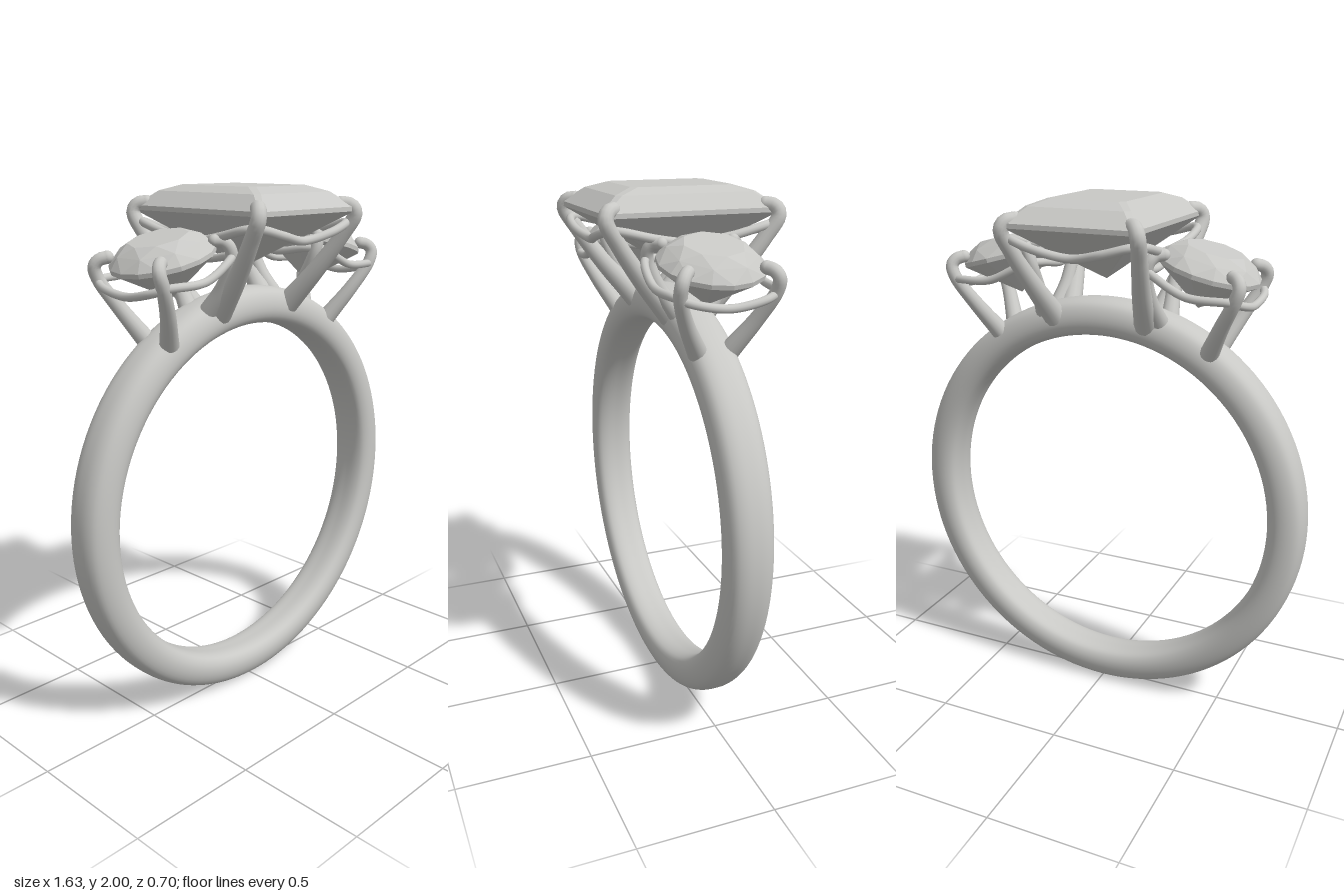
import * as THREE from 'three';
import { ConvexGeometry } from 'three/addons/geometries/ConvexGeometry.js';

const silver = new THREE.MeshStandardMaterial({ color: 0xc8c8c5 });
silver.name = 'silver grey';

const V = (x, y, z) => new THREE.Vector3(x, y, z);

function addMesh(parent, name, geometry) {
  const mesh = new THREE.Mesh(geometry, silver);
  mesh.name = name;
  parent.add(mesh);
  return mesh;
}

// Band: closed rounded section turned about z, slightly slimmer at the bottom
function bandGeometry() {
  const half = [[0.675, 0], [0.677, 0.045], [0.69, 0.075], [0.72, 0.09], [0.76, 0.088], [0.795, 0.07], [0.811, 0.04], [0.815, 0]];
  const loop = [
    ...half.map(([r, w]) => V(r, -w, 0)),
    ...half.slice(1, -1).reverse().map(([r, w]) => V(r, w, 0)),
  ];
  const section = new THREE.CatmullRomCurve3(loop, true).getPoints(44).map(p => new THREE.Vector2(p.x, p.y));
  const geo = new THREE.LatheGeometry(section, 120).rotateX(Math.PI / 2);
  const pos = geo.attributes.position;
  for (let i = 0; i < pos.count; i++) {
    pos.setZ(i, pos.getZ(i) * (0.95 + 0.08 * pos.getY(i)));
  }
  return geo.translate(0, 0.815, 0);
}

// Prong: tapering bent tube with a ball tip
function addProng(parent, name, points, baseRadius, tipRadius) {
  const group = new THREE.Group();
  group.name = name;
  const curve = new THREE.CatmullRomCurve3(points);
  const steps = 36, sides = 14;
  const geo = new THREE.TubeGeometry(curve, steps, 1, sides);
  const pos = geo.attributes.position;
  const p = V(0, 0, 0);
  for (let i = 0; i <= steps; i++) {
    const t = i / steps;
    const centre = curve.getPointAt(t);
    const radius = tipRadius + (baseRadius - tipRadius) * Math.pow(1 - t, 2);
    for (let j = 0; j <= sides; j++) {
      const k = i * (sides + 1) + j;
      p.fromBufferAttribute(pos, k).sub(centre).multiplyScalar(radius).add(centre);
      pos.setXYZ(k, p.x, p.y, p.z);
    }
  }
  addMesh(group, 'prongShaft', geo);
  addMesh(group, 'prongTip', new THREE.SphereGeometry(tipRadius, 16, 12)).position.copy(points[points.length - 1]);
  parent.add(group);
}

// Closed gallery wire from points of one quadrant (x side first, z side last)
function wireGeometry(quarter, radius) {
  const inner = quarter.slice(1, -1);
  const first = quarter[0], last = quarter[quarter.length - 1];
  const m = (list, sx, sz) => list.map(([x, y, z]) => V(x * sx, y, z * sz));
  const loop = [
    ...m([first, ...inner], 1, 1),
    ...m([last, ...inner.slice().reverse()], -1, 1),
    ...m([first, ...inner], -1, -1),
    ...m([last, ...inner.slice().reverse()], 1, -1),
  ];
  return new THREE.TubeGeometry(new THREE.CatmullRomCurve3(loop, true), 160, radius, 12, true);
}

// Step-cut stone: rectangular rings with clipped corners over a pointed base
function stepCutGeometry() {
  const rings = [[0.15, 0.19, 2.0, 0.02], [0.2, 0.262, 1.978, 0.018], [0.252, 0.33, 1.925, 0.012], [0.252, 0.33, 1.908, 0.012]];
  const points = [V(0, 1.7, 0)];
  for (const [x, z, y, c] of rings) {
    for (const sx of [-1, 1]) for (const sz of [-1, 1]) {
      points.push(V(sx * (x - c), y, sz * z), V(sx * x, y, sz * (z - c)));
    }
  }
  return new ConvexGeometry(points);
}

// Round stone: table, crown, girdle and pointed base
function roundCutGeometry() {
  const rings = [[8, 0.108, 0.072, 0], [8, 0.156, 0.046, Math.PI / 8], [16, 0.19, 0.008, 0], [16, 0.19, -0.008, 0]];
  const points = [V(0, -0.15, 0)];
  for (const [n, r, y, turn] of rings) {
    for (let i = 0; i < n; i++) {
      const a = turn + i / n * Math.PI * 2;
      points.push(V(Math.cos(a) * r, y, Math.sin(a) * r));
    }
  }
  return new ConvexGeometry(points);
}

export function createModel() {
  const model = new THREE.Group();
  model.name = 'threeStoneRing';
  addMesh(model, 'band', bandGeometry());

  // Centre setting
  const centre = new THREE.Group();
  centre.name = 'centreSetting';
  model.add(centre);
  addMesh(centre, 'centreStone', stepCutGeometry());
  addMesh(centre, 'centreGalleryWire', wireGeometry([
    [0.235, 1.815, 0], [0.26, 1.835, 0.14], [0.255, 1.865, 0.27],
    [0.225, 1.865, 0.305], [0.13, 1.84, 0.32], [0, 1.815, 0.3],
  ], 0.016));
  for (const sx of [-1, 1]) for (const sz of [-1, 1]) {
    addProng(centre, 'centreProng', [
      [0.185, 1.55, 0.06], [0.215, 1.69, 0.18], [0.245, 1.82, 0.275],
      [0.258, 1.9, 0.322], [0.246, 1.928, 0.312], [0.222, 1.935, 0.285],
    ].map(([x, y, z]) => V(sx * x, y, sz * z)), 0.045, 0.027);
  }

  // Side settings, tilted outward
  for (const sx of [-1, 1]) {
    const side = new THREE.Group();
    side.name = sx > 0 ? 'leftSetting' : 'rightSetting';
    model.add(side);

    const tilted = new THREE.Group();
    tilted.name = 'tiltedStone';
    tilted.position.set(sx * 0.4, 1.765, 0);
    tilted.rotation.z = -sx * Math.PI / 12;
    side.add(tilted);
    addMesh(tilted, 'sideStone', roundCutGeometry());
    addMesh(tilted, 'sideGalleryWire', wireGeometry([
      [0.195, -0.07, 0], [0.187, -0.05, 0.13], [0.15, -0.042, 0.18], [0, -0.07, 0.2],
    ], 0.015));

    for (const sz of [-1, 1]) {
      const place = ([x, y, z]) => V(sx * x, y, sz * z);
      addProng(side, 'outerProng', [
        [0.43, 1.47, 0.06], [0.495, 1.59, 0.13], [0.55, 1.69, 0.172],
        [0.564, 1.735, 0.172], [0.552, 1.758, 0.158], [0.53, 1.766, 0.14],
      ].map(place), 0.036, 0.023);
      addProng(side, 'innerProng', [
        [0.235, 1.56, 0.05], [0.222, 1.66, 0.12], [0.225, 1.76, 0.165],
        [0.238, 1.802, 0.165], [0.255, 1.82, 0.15], [0.278, 1.823, 0.133],
      ].map(place), 0.036, 0.022);
    }
  }
  return model;
}
